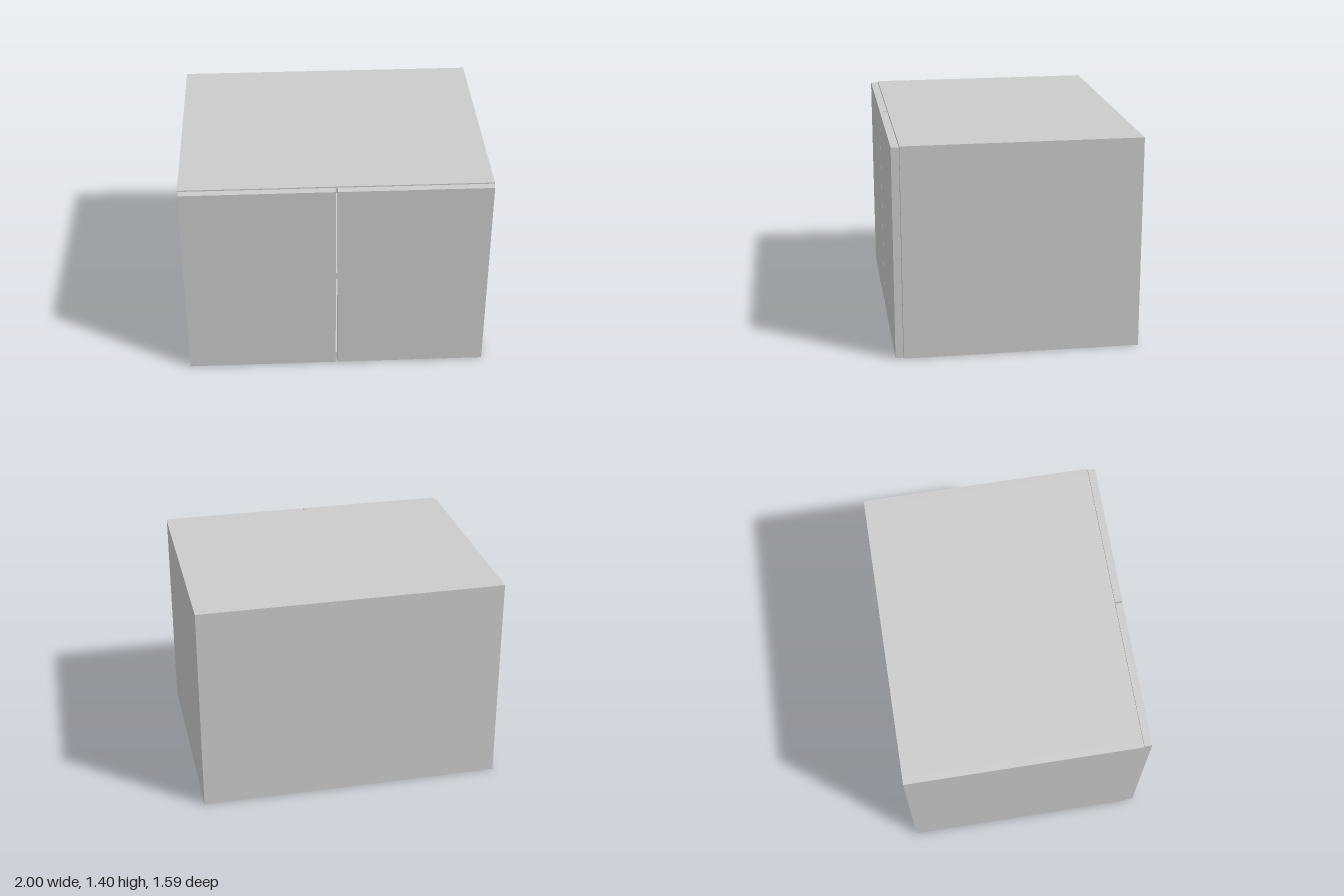
import * as THREE from 'three';

const W = 2, H = 1.4, T = 0.048;        // width, height, board thickness
const BACK = -0.795, FRONT = 0.742, DOOR_FRONT = 0.795;
const GAP = 0.006;                      // reveal around each door

export function createModel() {
  const cabinet = new THREE.Group();
  cabinet.name = 'cabinet';
  const material = new THREE.MeshStandardMaterial({ color: 0xcccccc });

  // Board given by its extents along each axis
  const board = (name, [x0, x1], [y0, y1], [z0, z1]) => {
    const mesh = new THREE.Mesh(new THREE.BoxGeometry(x1 - x0, y1 - y0, z1 - z0), material);
    mesh.position.set((x0 + x1) / 2, (y0 + y1) / 2, (z0 + z1) / 2);
    mesh.name = name;
    cabinet.add(mesh);
  };

  const inner = [-W / 2 + T, W / 2 - T];

  // Side panels
  board('rightSide', [-W / 2, inner[0]], [0, H], [BACK, FRONT]);
  board('leftSide', [inner[1], W / 2], [0, H], [BACK, FRONT]);

  // Bottom, top and back between the sides
  board('bottomPanel', inner, [0, T], [BACK, FRONT]);
  board('topPanel', inner, [H - T, H], [BACK, FRONT]);
  board('backPanel', inner, [T, H - T], [BACK, BACK + 0.015]);

  // Middle shelf
  board('shelf', inner, [(H - T) / 2, (H + T) / 2], [BACK + 0.015, FRONT]);

  // Pair of doors covering the front
  const doorY = [GAP, H - GAP], doorZ = [FRONT + 0.003, DOOR_FRONT];
  board('rightDoor', [-W / 2 + GAP, -GAP], doorY, doorZ);
  board('leftDoor', [GAP, W / 2 - GAP], doorY, doorZ);

  return cabinet;
}
